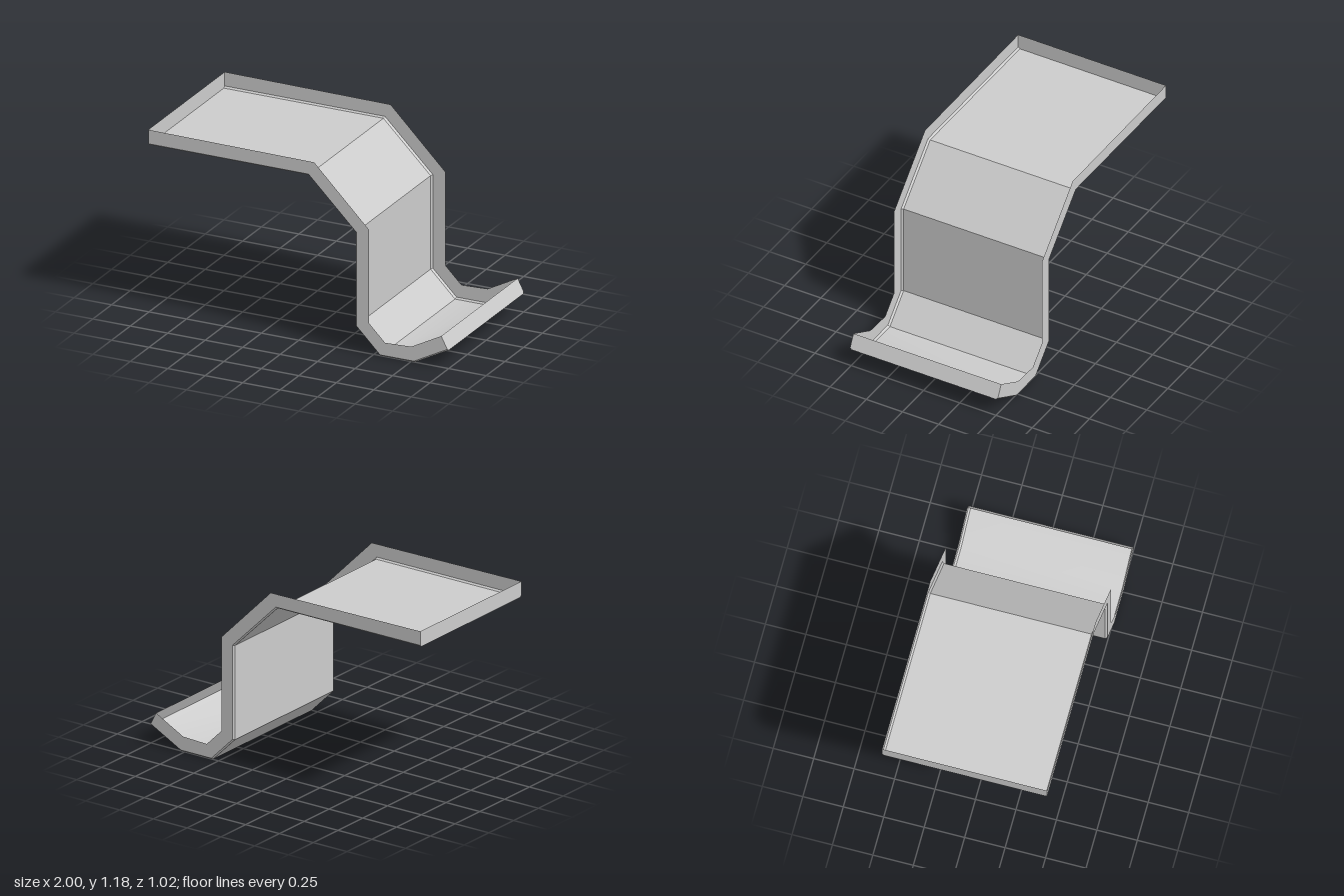
import * as THREE from 'three';
import { toCreasedNormals } from 'three/addons/utils/BufferGeometryUtils.js';

// Stations along the tray: floor x, floor y, rim x, rim y
const STATIONS = [
  [-1, 1.08, -1, 1.18],
  [0.065, 1.08, 0.107, 1.172],
  [0.38, 0.768, 0.472, 0.805],
  [0.38, 0.165, 0.472, 0.203],
  [0.543, 0.002, 0.58, 0.095],
  [0.775, 0.002, 0.755, 0.102],
  [1, 0.12, 0.955, 0.207],
];
const HALF_WIDTH = 0.51;
const BEVEL = 0.012;

// U-shaped cross-section: rim, wall foot, floor edge, mirrored to the other side
function crossSection([fx, fy, rx, ry]) {
  const t = 0.1; // height of the wall foot as a share of the wall
  const mx = fx + (rx - fx) * t, my = fy + (ry - fy) * t;
  const side = [[rx, ry, HALF_WIDTH], [mx, my, HALF_WIDTH], [fx, fy, HALF_WIDTH - BEVEL]];
  return [...side, ...side.map(([x, y, z]) => [x, y, -z]).reverse()];
}

function meshFrom(name, triangles, material) {
  const geometry = new THREE.BufferGeometry();
  geometry.setAttribute('position', new THREE.Float32BufferAttribute(triangles.flat(), 3));
  const mesh = new THREE.Mesh(toCreasedNormals(geometry, 0.6), material);
  mesh.name = name;
  return mesh;
}

// Flat end wall closing a cross-section
function endWall(name, ring, flip, material) {
  const tris = [];
  for (let j = 1; j < ring.length - 1; j++) {
    if (flip) tris.push(ring[0], ring[j + 1], ring[j]);
    else tris.push(ring[0], ring[j], ring[j + 1]);
  }
  return meshFrom(name, tris, material);
}

export function createModel() {
  const group = new THREE.Group();
  group.name = 'bentTray';
  const material = new THREE.MeshStandardMaterial({ color: 0xcccccc, side: THREE.DoubleSide });
  const rings = STATIONS.map(crossSection);

  // Floor and both side walls, lofted through the stations
  const tris = [];
  for (let i = 0; i < rings.length - 1; i++) {
    for (let j = 0; j < rings[i].length - 1; j++) {
      const a = rings[i][j], b = rings[i + 1][j], c = rings[i + 1][j + 1], d = rings[i][j + 1];
      tris.push(a, d, c, a, c, b);
    }
  }
  group.add(meshFrom('floorAndSideWalls', tris, material));

  // End walls
  group.add(endWall('upperEndWall', rings[0], true, material));
  group.add(endWall('lowerEndWall', rings[rings.length - 1], false, material));
  return group;
}
